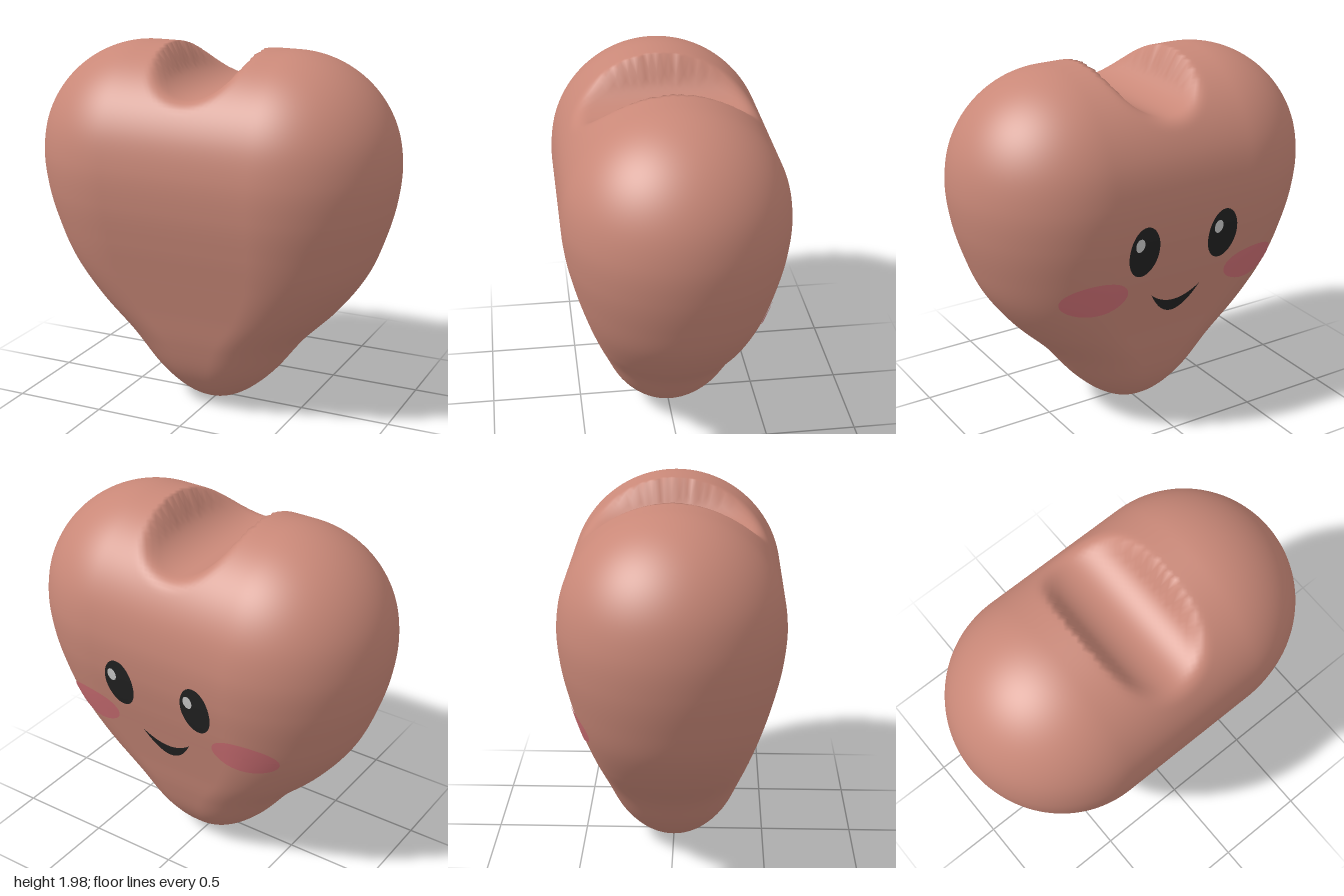
import * as THREE from 'three';
import { mergeVertices } from 'three/addons/utils/BufferGeometryUtils.js';

// Level sections are stadiums: squared end radius and half length of the straight part,
// sampled every 0.2 in height starting at y = -0.2
const RADIUS_SQ = [-0.12, 0, 0.081, 0.133, 0.176, 0.226, 0.281, 0.327, 0.342, 0.300, 0.178, -0.024, -0.306, -0.668];
const HALF_LENGTH = [0, 0, 0.055, 0.135, 0.275, 0.365, 0.395, 0.408, 0.413, 0.413, 0.413, 0.413, 0.413, 0.413];

// Smooth lookup in one of the tables
function sample(table, y) {
  const t = THREE.MathUtils.clamp((y + 0.2) / 0.2, 1, table.length - 2.001);
  const i = Math.floor(t), f = t - i;
  const [a, b, c, d] = table.slice(i - 1, i + 3);
  return b + 0.5 * f * (c - a + f * (2 * a - 5 * b + 4 * c - d + f * (3 * (b - c) + d - a)));
}

// Negative inside the heart: stadium stack minus a round groove across the top
function field(x, y, z) {
  const overhang = Math.max(Math.abs(x) - Math.max(sample(HALF_LENGTH, y), 0), 0);
  const r2 = y < 0 ? -1 : sample(RADIUS_SQ, y);
  const body = Math.hypot(overhang, z) - (r2 > 0 ? Math.sqrt(r2) : r2);
  const groove = 0.25 - Math.hypot(x, y - 2.005);
  const k = 0.05, blend = Math.max(k - Math.abs(body - groove), 0) / k;
  return Math.max(body, groove) + blend * blend * k * 0.25;
}

// Distance along a ray from an inside point to the surface
function reach(from, dir) {
  let lo = 0, hi = 1.6;
  for (let i = 0; i < 26; i++) {
    const t = (lo + hi) / 2;
    if (field(from.x + dir.x * t, from.y + dir.y * t, from.z + dir.z * t) < 0) lo = t;
    else hi = t;
  }
  return lo;
}

function makeMesh(name, geometry, color) {
  const mesh = new THREE.Mesh(geometry, new THREE.MeshStandardMaterial({ color }));
  mesh.name = name;
  return mesh;
}

// Heart: a fine sphere pushed out to the surface
function heartGeometry() {
  let geo = new THREE.IcosahedronGeometry(1, 44);
  geo.deleteAttribute('uv');
  geo.deleteAttribute('normal');
  geo = mergeVertices(geo, 1e-5);
  const centre = new THREE.Vector3(0, 1, 0);
  const p = geo.attributes.position, dir = new THREE.Vector3();
  for (let i = 0; i < p.count; i++) {
    dir.fromBufferAttribute(p, i).normalize();
    dir.multiplyScalar(reach(centre, dir)).add(centre);
    p.setXYZ(i, dir.x, dir.y, dir.z);
  }
  geo.computeVertexNormals();
  return geo;
}

// Lays a flat geometry onto the -z side, slightly raised
function drape(geo, lift) {
  const p = geo.attributes.position, back = new THREE.Vector3(0, 0, -1);
  for (let i = 0; i < p.count; i++) {
    const from = new THREE.Vector3(p.getX(i), p.getY(i), 0);
    p.setZ(i, -reach(from, back) - lift);
  }
  geo.computeVertexNormals();
  return geo;
}

function oval(x, y, rx, ry, lift) {
  const geo = new THREE.RingGeometry(0.001, 1, 40, 8).rotateY(Math.PI);
  return drape(geo.scale(rx, ry, 1).translate(x, y, 0), lift);
}

// Crescent between two parabolas that meet at the corners
function smile() {
  const geo = new THREE.PlaneGeometry(2, 1, 24, 4).rotateY(Math.PI);
  const p = geo.attributes.position;
  for (let i = 0; i < p.count; i++) {
    const s = p.getX(i), t = p.getY(i) + 0.5;
    const sag = THREE.MathUtils.lerp(0.135, 0.065, t);
    p.setXY(i, s * 0.15, 0.835 - sag * (1 - s * s));
  }
  return drape(geo, 0.01);
}

export function createModel() {
  const model = new THREE.Group();
  model.name = 'heart';
  model.add(makeMesh('heartBody', heartGeometry(), 0xc98878));

  const face = new THREE.Group();
  face.name = 'face';
  for (const [side, s] of [['left', 1], ['right', -1]]) {
    face.add(
      makeMesh(side + 'Eye', oval(s * 0.24, 1.125, 0.09, 0.145, 0.01), 0x222222),
      makeMesh(side + 'EyeHighlight', oval(s * 0.24 + 0.035, 1.175, 0.027, 0.038, 0.016), 0xdddddd),
      makeMesh(side + 'Cheek', oval(s * 0.48, 0.885, 0.18, 0.1, 0.006), 0xcf7075),
    );
  }
  face.add(makeMesh('mouth', smile(), 0x222222));
  model.add(face);
  return model;
}
